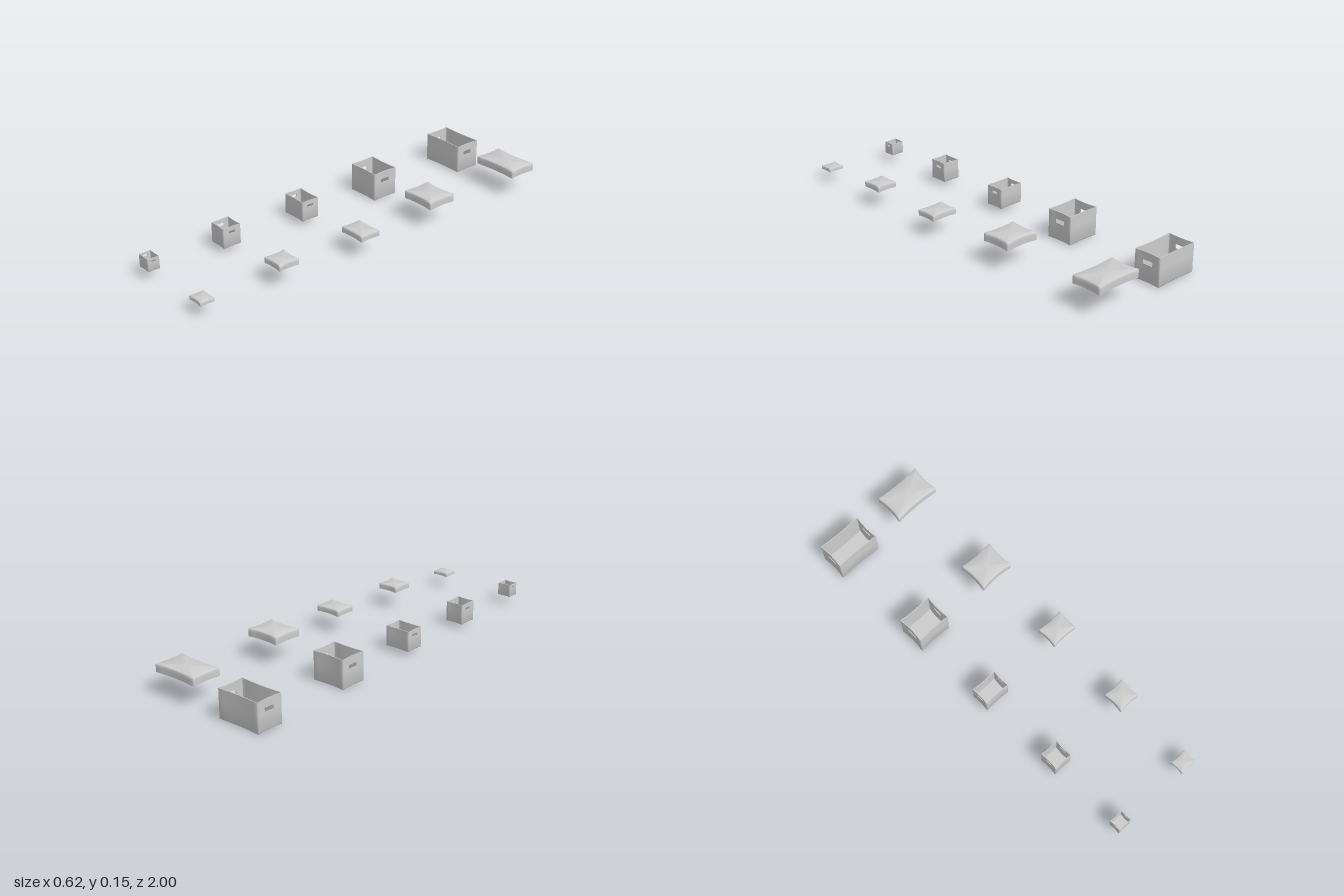
import * as THREE from 'three';
import { toCreasedNormals } from 'three/addons/utils/BufferGeometryUtils.js';

const material = new THREE.MeshStandardMaterial({ color: 0xcccccc });

// Positions along each side; the grip hole spans indices 3 to 5
const SIDE = [-1, -0.8, -0.6, -0.4, 0, 0.4, 0.6, 0.8, 1];
const ARC = [Math.PI / 6, Math.PI / 3];
const PER_SIDE = SIDE.length + ARC.length;
const HOLE_START = 3, HOLE_END = 5;

// Rounded rectangle with sides bowed inwards, as one closed loop at height y
function ring(w, d, bow, radius, inset, y) {
  const points = [];
  for (let q = 0; q < 4; q++) {
    const n = [[1, 0], [0, 1], [-1, 0], [0, -1]][q];
    const t = [-n[1], n[0]];
    const A = (q % 2 ? d : w) / 2 - inset;
    const B = (q % 2 ? w : d) / 2 - inset;
    const r = Math.max(radius - inset, 0.001);
    const put = (out, along) =>
      points.push([n[0] * out + t[0] * along, y, n[1] * out + t[1] * along]);
    for (const u of SIDE) put(A - bow * (1 - u * u), u * (B - r));
    for (const a of ARC) put(A - r + r * Math.cos(a), B - r + r * Math.sin(a));
  }
  return points;
}

// Open tray: floor, rounded lower edge, outer wall, rim, inner wall, inner floor
function trayGeometry({ w, d, h, bow, radius, wall, hole }) {
  const e = radius * 0.8;
  const [lo, hi] = hole || [h * 0.5, h * 0.7];
  const profile = [
    [e, 0], [e * 0.3, e * 0.3], [0, e], [0, lo], [0, hi], [0, h],
    [wall, h], [wall, hi], [wall, lo], [wall, wall],
  ];
  const rings = profile.map(([inset, y]) => ring(w, d, bow, radius, inset, y));
  const count = rings[0].length;
  const positions = [];
  const tri = (...corners) => corners.forEach((p) => positions.push(...p));
  const quad = (a, b, c, f) => { tri(a, b, c); tri(a, c, f); };
  const OUT = 3, IN = 7; // profile rows holding the grip hole

  for (let i = 0; i < rings.length - 1; i++) {
    for (let j = 0; j < count; j++) {
      const s = j % PER_SIDE;
      const gripSide = Math.floor(j / PER_SIDE) % 2 === 0;
      const inHole = hole && gripSide && s >= HOLE_START && s < HOLE_END;
      if (inHole && (i === OUT || i === IN)) continue;
      const k = (j + 1) % count;
      quad(rings[i][j], rings[i + 1][j], rings[i + 1][k], rings[i][k]);
    }
  }

  // Outer and inner floor
  const last = rings[rings.length - 1];
  for (let j = 0; j < count; j++) {
    const k = (j + 1) % count;
    tri([0, 0, 0], rings[0][j], rings[0][k]);
    tri([0, wall, 0], last[k], last[j]);
  }

  // Edges of the grip holes through the wall
  if (hole) {
    for (const start of [0, 2 * PER_SIDE]) {
      const a = start + HOLE_START, b = start + HOLE_END;
      const outLo = rings[OUT], outHi = rings[OUT + 1];
      const inHi = rings[IN], inLo = rings[IN + 1];
      for (let j = a; j < b; j++) {
        quad(outLo[j], inLo[j], inLo[j + 1], outLo[j + 1]);
        quad(inHi[j], outHi[j], outHi[j + 1], inHi[j + 1]);
      }
      quad(outLo[a], outHi[a], inHi[a], inLo[a]);
      quad(inLo[b], inHi[b], outHi[b], outLo[b]);
    }
  }

  const geometry = new THREE.BufferGeometry();
  geometry.setAttribute('position', new THREE.Float32BufferAttribute(positions, 3));
  return toCreasedNormals(geometry, 0.85);
}

function addMesh(group, name, geometry, x, y, z) {
  const mesh = new THREE.Mesh(geometry, material);
  mesh.name = name;
  mesh.position.set(x, y, z);
  group.add(mesh);
  return mesh;
}

// Each size: z, box [x, width, depth, bottom, top], grip [low, high], lid [x, width, depth, bottom, top]
const SIZES = [
  { name: 'extraLarge', z: -0.922, box: [-0.196, 0.234, 0.143, 0.001, 0.145], grip: [0.086, 0.107], lid: [0.187, 0.246, 0.156, 0.108, 0.148] },
  { name: 'large', z: -0.367, box: [-0.197, 0.178, 0.143, 0.001, 0.145], grip: [0.086, 0.107], lid: [0.208, 0.183, 0.156, 0.108, 0.148] },
  { name: 'medium', z: 0.097, box: [-0.198, 0.137, 0.098, 0.022, 0.124], grip: [0.09, 0.103], lid: [0.239, 0.142, 0.11, 0.092, 0.121] },
  { name: 'small', z: 0.544, box: [-0.2, 0.098, 0.098, 0.022, 0.124], grip: [0.09, 0.103], lid: [0.225, 0.113, 0.11, 0.092, 0.121] },
  { name: 'tiny', z: 0.963, box: [-0.198, 0.074, 0.062, 0.042, 0.106], grip: [0.086, 0.095], lid: [0.214, 0.087, 0.074, 0.062, 0.08] },
];

export function createModel() {
  const model = new THREE.Group();
  model.name = 'storageBoxSet';
  for (const { name, z, box, grip, lid } of SIZES) {
    const [bx, bw, bd, b0, b1] = box;
    const [lx, lw, ld, l0, l1] = lid;
    const wall = 0.002 + bd * 0.012;

    // Open box with two grip holes
    addMesh(model, name + 'Box', trayGeometry({
      w: bw, d: bd, h: b1 - b0, bow: bd * 0.035, radius: 0.003 + bd * 0.02, wall,
      hole: [grip[0] - b0, grip[1] - b0],
    }), bx, b0, z);

    // Lid: the same tray turned upside down
    const cover = addMesh(model, name + 'Lid', trayGeometry({
      w: lw, d: ld, h: l1 - l0, bow: ld * 0.05, radius: 0.003 + ld * 0.02, wall,
    }), lx, l1, z);
    cover.rotation.x = Math.PI;
  }
  return model;
}
